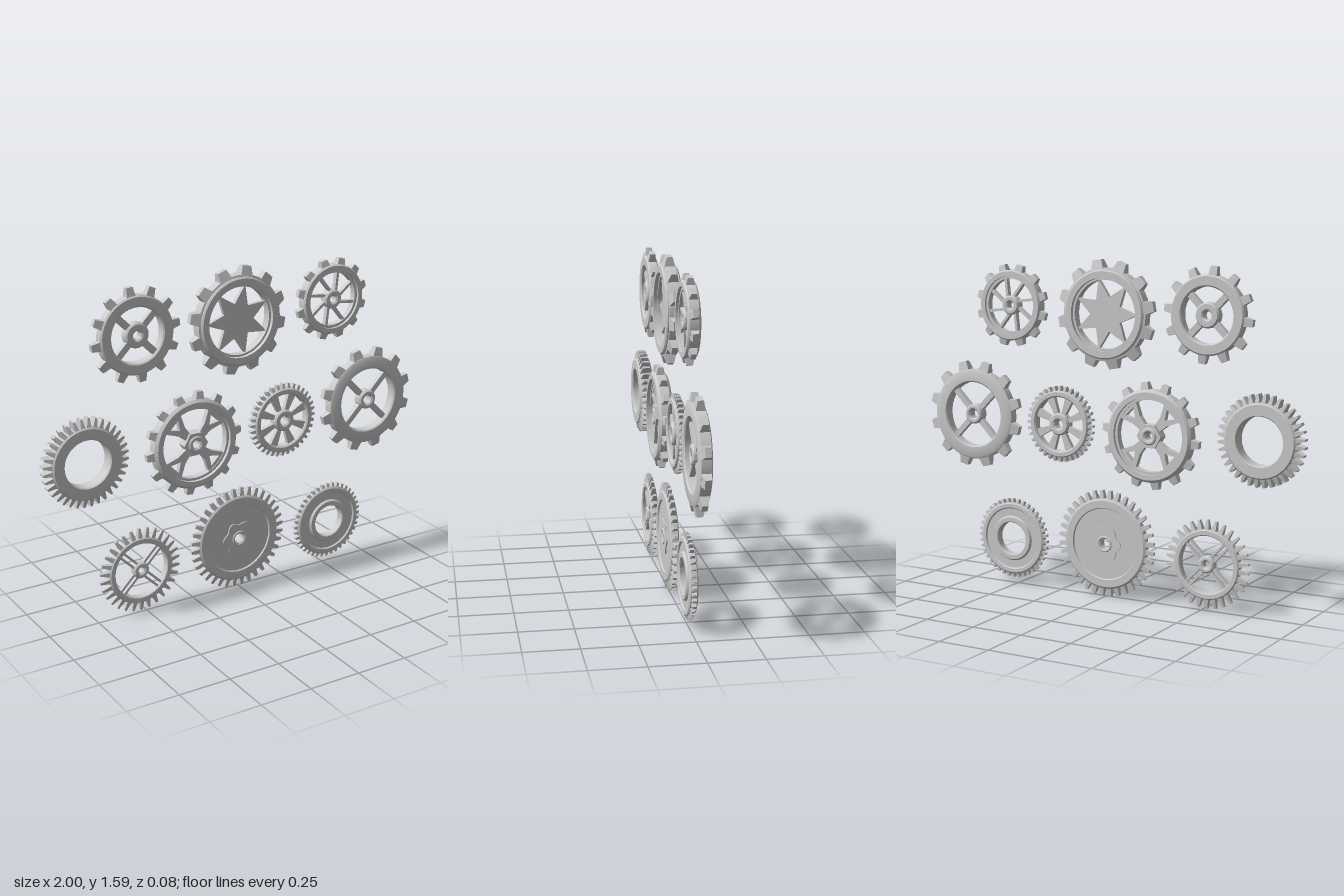
import * as THREE from 'three';
import { toCreasedNormals } from 'three/addons/utils/BufferGeometryUtils.js';

const material = new THREE.MeshStandardMaterial({ color: 0xcccccc });
const TAU = Math.PI * 2;

function add(parent, name, geometry, angle = 0) {
  const mesh = new THREE.Mesh(geometry, material);
  mesh.name = name;
  mesh.rotation.z = angle;
  parent.add(mesh);
  return mesh;
}

// Ring around z: half profile of [radius, half depth] from inside to outside, mirrored in z
function ringGeometry(half, segments = 64) {
  const pts = [
    ...half.map(([r, h]) => new THREE.Vector2(r, -h)),
    ...half.slice().reverse().map(([r, h]) => new THREE.Vector2(r, h)),
    new THREE.Vector2(half[0][0], -half[0][1]),
  ];
  const g = new THREE.LatheGeometry(pts, segments).rotateX(Math.PI / 2);
  return toCreasedNormals(g, 0.5);
}

// Tooth tapering in width and depth from root radius r0 to tip radius r1, pointing along +x
function toothGeometry(r0, r1, w0, w1, d0, d1) {
  const g = new THREE.BoxGeometry(1, 1, 1).toNonIndexed();
  const p = g.attributes.position;
  for (let i = 0; i < p.count; i++) {
    const tip = p.getX(i) > 0;
    p.setXYZ(i, tip ? r1 : r0 - 0.008, p.getY(i) * (tip ? w1 : w0), p.getZ(i) * (tip ? d1 : d0));
  }
  g.computeVertexNormals();
  return g;
}

// Flat plate centred on z = 0, with optional holes given as point lists
function plateGeometry(points, depth, holes = []) {
  const toShape = (list) => list.map(([x, y]) => new THREE.Vector2(x, y));
  const shape = new THREE.Shape(toShape(points));
  holes.forEach((h) => shape.holes.push(new THREE.Path(toShape(h))));
  return new THREE.ExtrudeGeometry(shape, { depth, bevelEnabled: false }).translate(0, 0, -depth / 2);
}

// Closed outline with radius given by a function of the angle
const polar = (n, radius) => Array.from({ length: n }, (_, i) => {
  const a = i / n * TAU, r = radius(a, i);
  return [r * Math.cos(a), r * Math.sin(a)];
});

const bar = (x0, x1, width, depth) =>
  new THREE.BoxGeometry(x1 - x0, width, depth).translate((x0 + x1) / 2, 0, 0);

function around(parent, name, n, phaseDeg, geometry) {
  for (let i = 0; i < n; i++) add(parent, name, geometry, THREE.MathUtils.degToRad(phaseDeg) + i / n * TAU);
}

// Common part of every wheel: toothed rim, and a hub with a bore when given
function gear(root, name, x, y, { rim, teeth, phase, tooth, hub }) {
  const g = new THREE.Group();
  g.name = name;
  g.position.set(x, y, 0);
  add(g, 'rim', ringGeometry(rim));
  around(g, 'tooth', teeth, phase, toothGeometry(...tooth));
  if (hub) add(g, 'hub', ringGeometry(hub, 32));
  root.add(g);
  return g;
}

// Hub profile with a chamfered edge
const hubProfile = (bore, r, h) => [[bore, h - 0.006], [bore + 0.008, h], [r - 0.007, h], [r, h - 0.007]];

export function createModel() {
  const root = new THREE.Group();
  root.name = 'gearSet';

  // Top row: four spoke gear
  const a = gear(root, 'fourSpokeGear', -0.524, 1.355, {
    rim: [[0.128, 0.02], [0.134, 0.026], [0.174, 0.026], [0.181, 0.019]],
    teeth: 12, phase: 7.5, tooth: [0.18, 0.22, 0.044, 0.032, 0.042, 0.024],
    hub: hubProfile(0.02, 0.058, 0.024),
  });
  around(a, 'spoke', 4, 45, bar(0.05, 0.135, 0.03, 0.026));

  // Top row: large gear with a star plate
  const b = gear(root, 'starGear', 0, 1.34, {
    rim: [[0.16, 0.02], [0.17, 0.02], [0.17, 0.038], [0.2, 0.038], [0.207, 0.032], [0.207, 0.026], [0.216, 0.024]],
    teeth: 12, phase: 20, tooth: [0.215, 0.254, 0.064, 0.046, 0.054, 0.026],
  });
  add(b, 'starPlate', plateGeometry(polar(14, (t, i) => (i % 2 ? 0.082 : 0.168)), 0.02), 0.45);

  // Top row: small gear with slanted spokes
  const c = gear(root, 'pinwheelGear', 0.519, 1.366, {
    rim: [[0.127, 0.016], [0.14, 0.016], [0.14, 0.028], [0.162, 0.028], [0.168, 0.02]],
    teeth: 12, phase: 15, tooth: [0.166, 0.196, 0.046, 0.034, 0.042, 0.024],
    hub: hubProfile(0.017, 0.046, 0.024),
  });
  around(c, 'slantedSpoke', 8, 10, bar(0, 0.108, 0.013, 0.024).rotateZ(0.5).translate(0.034, 0, 0));

  // Middle row: wide ring with fine pointed teeth
  gear(root, 'ringGear', -0.79, 0.81, {
    rim: [[0.112, 0.03], [0.116, 0.035], [0.164, 0.035], [0.172, 0.027]],
    teeth: 36, phase: 5, tooth: [0.17, 0.21, 0.025, 0.01, 0.062, 0.036],
  });

  // Middle row: gear with four pierced wedge spokes
  const e = gear(root, 'wedgeSpokeGear', -0.236, 0.79, {
    rim: [[0.168, 0.018], [0.18, 0.018], [0.18, 0.034], [0.204, 0.034], [0.21, 0.028], [0.216, 0.022]],
    teeth: 14, phase: 6, tooth: [0.214, 0.25, 0.045, 0.032, 0.046, 0.026],
  });
  const wedge = [[0.05, -0.018], [0.1, -0.026], [0.172, -0.062], [0.178, 0], [0.172, 0.062], [0.1, 0.026], [0.05, 0.018]];
  around(e, 'wedgeSpoke', 4, 45, plateGeometry(wedge, 0.028, [[[0.108, 0], [0.152, -0.03], [0.152, 0.03]]]));
  add(e, 'hexagonHub', plateGeometry(polar(6, () => 0.062), 0.052, [polar(24, () => 0.02)]));
  add(e, 'hubCollar', ringGeometry(hubProfile(0.019, 0.042, 0.032), 32));

  // Middle row: small gear with eight flared spokes
  const f = gear(root, 'eightSpokeGear', 0.25, 0.81, {
    rim: [[0.13, 0.018], [0.136, 0.024], [0.154, 0.024], [0.159, 0.018]],
    teeth: 36, phase: 0, tooth: [0.157, 0.182, 0.019, 0.011, 0.036, 0.022],
    hub: hubProfile(0.022, 0.053, 0.026),
  });
  const flare = [[0.045, -0.01], [0.135, -0.021], [0.135, 0.021], [0.045, 0.01]];
  around(f, 'flaredSpoke', 8, 22.5, plateGeometry(flare, 0.022));

  // Middle row: large open gear
  const g = gear(root, 'largeOpenGear', 0.738, 0.826, {
    rim: [[0.158, 0.022], [0.164, 0.028], [0.21, 0.028], [0.221, 0.022]],
    teeth: 12, phase: 15, tooth: [0.22, 0.262, 0.06, 0.042, 0.046, 0.026],
    hub: hubProfile(0.022, 0.048, 0.026),
  });
  around(g, 'spoke', 4, 45, bar(0.042, 0.164, 0.027, 0.024));

  // Bottom row: thin gear with paired spokes
  const h = gear(root, 'pairedSpokeGear', -0.53, 0.22, {
    rim: [[0.135, 0.016], [0.139, 0.02], [0.158, 0.02], [0.163, 0.015]],
    teeth: 30, phase: 6, tooth: [0.16, 0.208, 0.025, 0.01, 0.034, 0.014],
    hub: hubProfile(0.015, 0.04, 0.02),
  });
  for (const side of [-1, 1]) {
    around(h, 'pairedSpoke', 4, 45, bar(0.025, 0.14, 0.011, 0.02).translate(0, side * 0.012, 0));
  }

  // Bottom row: large solid gear with a lobed hub
  const k = gear(root, 'solidGear', 0, 0.257, {
    rim: [[0.168, 0.012], [0.173, 0.021], [0.208, 0.021], [0.217, 0.015]],
    teeth: 36, phase: 5, tooth: [0.215, 0.256, 0.025, 0.015, 0.032, 0.016],
  });
  add(k, 'webDisc', ringGeometry([[0.024, 0.014], [0.172, 0.014]]));
  add(k, 'lobedHub', toCreasedNormals(plateGeometry(
    polar(72, (t) => 0.079 + 0.008 * Math.cos(6 * t)), 0.04, [polar(24, () => 0.025)]), 0.5));
  add(k, 'hubCollar', ringGeometry(hubProfile(0.024, 0.042, 0.024), 32));

  // Bottom row: stepped ring with fine teeth
  gear(root, 'steppedRingGear', 0.523, 0.226, {
    rim: [[0.08, 0.018], [0.084, 0.022], [0.104, 0.022], [0.111, 0.012], [0.148, 0.012],
      [0.153, 0.019], [0.17, 0.019], [0.177, 0.014]],
    teeth: 40, phase: 0, tooth: [0.175, 0.196, 0.018, 0.011, 0.028, 0.016],
  });

  return root;
}
